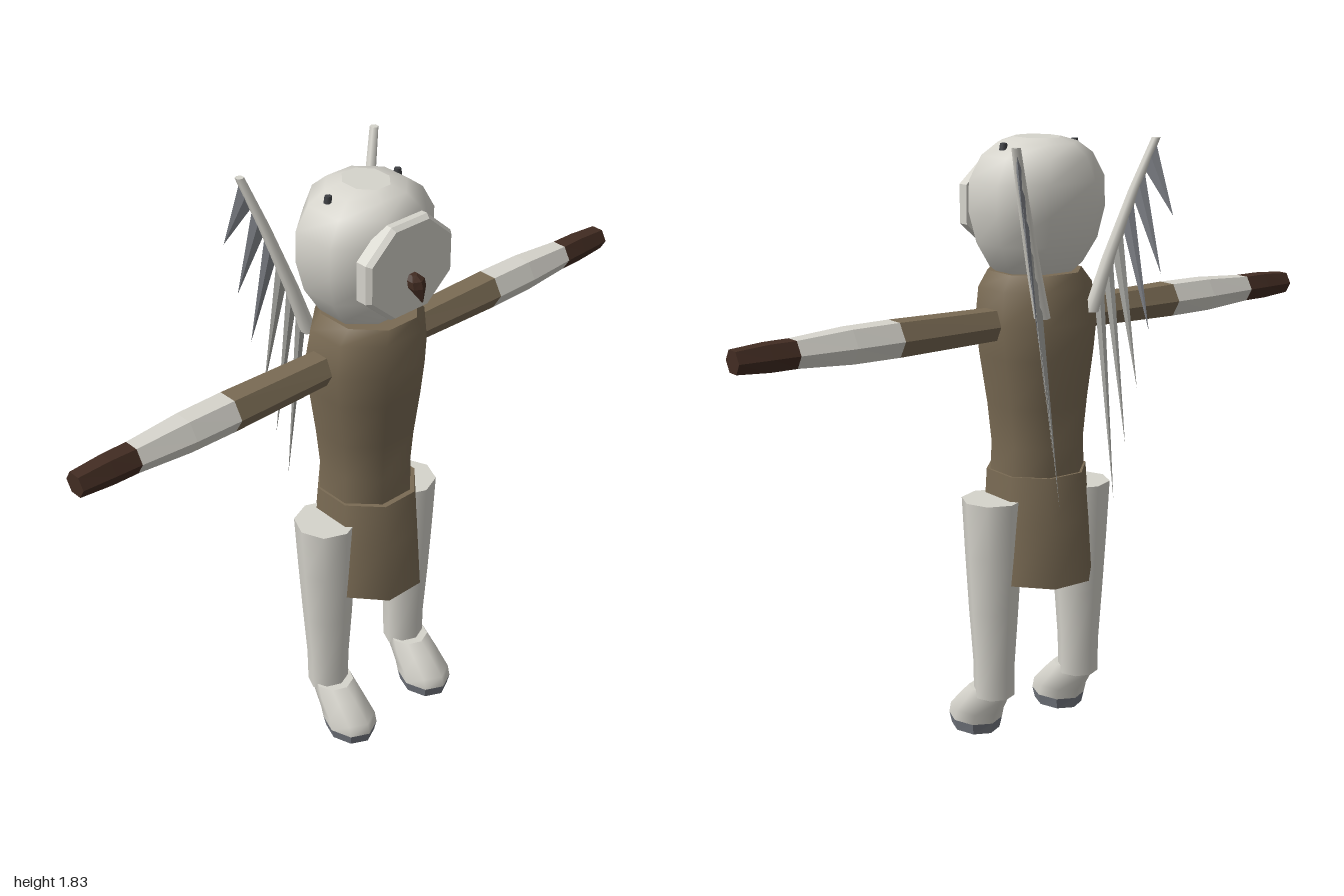
import * as THREE from 'three';

const mat = (name, color, extra = {}) => Object.assign(new THREE.MeshStandardMaterial({ color, ...extra }), { name });

// Lofts rings [y, cx, cz, rx, rz] into an n-sided body; "flatFront" puts a side, not a corner, at +z
function loft(rings, n, { flatFront = false, capBottom = true, capTop = true, flat = false } = {}) {
  const pos = [], idx = [];
  const phase = flatFront ? Math.PI / n : 0;
  const k = flatFront ? 1 / Math.cos(Math.PI / n) : 1;
  const addRing = ([y, cx, cz, rx, rz]) => {
    const start = pos.length / 3;
    for (let i = 0; i < n; i++) {
      const a = phase + (i / n) * Math.PI * 2;
      pos.push(cx + rx * k * Math.sin(a), y, cz + rz * k * Math.cos(a));
    }
    return start;
  };
  const starts = rings.map(addRing);
  for (let r = 0; r < rings.length - 1; r++) {
    for (let i = 0; i < n; i++) {
      const j = (i + 1) % n, a = starts[r], b = starts[r + 1];
      idx.push(a + i, a + j, b + j, a + i, b + j, b + i);
    }
  }
  const cap = (ring, up) => {
    const s = addRing(ring), c = pos.length / 3;
    pos.push(ring[1], ring[0], ring[2]);
    for (let i = 0; i < n; i++) {
      const j = (i + 1) % n;
      if (up) idx.push(c, s + i, s + j);
      else idx.push(c, s + j, s + i);
    }
  };
  if (capBottom) cap(rings[0], false);
  if (capTop) cap(rings[rings.length - 1], true);
  let g = new THREE.BufferGeometry();
  g.setAttribute('position', new THREE.Float32BufferAttribute(pos, 3));
  g.setIndex(idx);
  if (flat) g = g.toNonIndexed();
  g.computeVertexNormals();
  return g;
}

// Thin four-sided spike between two root points and a tip
function feather(a, b, tip, normal) {
  const m = a.clone().lerp(b, 0.5);
  const root = [a, m.clone().add(normal), b, m.clone().sub(normal)];
  const pts = [];
  for (let i = 0; i < 4; i++) pts.push(root[i], root[(i + 1) % 4], tip);
  pts.push(root[0], root[2], root[1], root[0], root[3], root[2]);
  const g = new THREE.BufferGeometry().setFromPoints(pts);
  g.computeVertexNormals();
  return g;
}

export function createModel() {
  const model = new THREE.Group();
  model.name = 'wingedFigure';
  const pale = mat('pale', 0xd6d4cc);
  const cloth = mat('cloth', 0x7a6b54);
  const clothOpen = cloth;
  clothOpen.side = THREE.DoubleSide;
  const dark = mat('darkBrown', 0x422c22);
  const slate = mat('slate', 0x767a82);
  const eyeGrey = mat('eyeGrey', 0x3e4044);
  const upperPlume = mat('upperPlume', 0x7e8187, { side: THREE.DoubleSide });
  const lowerPlume = mat('lowerPlume', 0xa9a9a4, { side: THREE.DoubleSide });

  const add = (parent, name, geometry, material) => {
    const mesh = new THREE.Mesh(geometry, material);
    mesh.name = name;
    parent.add(mesh);
    return mesh;
  };

  // Head with flattened crown
  add(model, 'head', loft([
    [1.43, 0, 0.04, 0.10, 0.09],
    [1.46, 0, 0.04, 0.135, 0.115],
    [1.53, 0, 0.035, 0.175, 0.145],
    [1.62, 0, 0.035, 0.195, 0.168],
    [1.71, 0, 0.035, 0.193, 0.168],
    [1.78, 0, 0.035, 0.155, 0.148],
    [1.815, 0, 0.035, 0.11, 0.11],
    [1.83, 0, 0.035, 0.06, 0.07],
  ], 8, { flatFront: true }), pale);

  // Bevelled face plate, lofted upright then turned to the front
  const plate = add(model, 'facePlate', loft([
    [0.17, 0, 0, 0.157, 0.14],
    [0.205, 0, 0, 0.157, 0.14],
    [0.22, 0, 0, 0.146, 0.13],
  ], 8, { flatFront: true, flat: true }).rotateX(Math.PI / 2), pale);
  plate.position.y = 1.63;

  // Hooked beak
  add(model, 'beak', loft([
    [1.545, 0, 0.262, 0.002, 0.002],
    [1.585, 0, 0.24, 0.026, 0.024],
    [1.605, 0, 0.235, 0.026, 0.022],
    [1.618, 0, 0.225, 0.012, 0.012],
  ], 6, { flat: true }), dark);

  // Torso and open skirt
  add(model, 'torso', loft([
    [0.82, 0, 0.038, 0.135, 0.135],
    [0.93, 0, 0.036, 0.13, 0.134],
    [1.05, 0, 0.036, 0.142, 0.142],
    [1.2, 0, 0.038, 0.163, 0.157],
    [1.3, 0, 0.04, 0.174, 0.164],
    [1.4, 0, 0.045, 0.162, 0.15],
    [1.445, 0, 0.05, 0.13, 0.138],
  ], 8, { flatFront: true }), cloth);
  add(model, 'skirt', loft([
    [0.51, 0, 0.04, 0.155, 0.176],
    [0.7, 0, 0.041, 0.148, 0.16],
    [0.845, 0, 0.042, 0.141, 0.147],
  ], 8, { flatFront: true, capBottom: false }), clothOpen);

  for (const s of [1, -1]) {
    const side = s > 0 ? 'left' : 'right';

    // Eye studs
    const eye = add(model, side + 'Eye', new THREE.CylinderGeometry(0.01, 0.013, 0.02, 6), eyeGrey);
    eye.position.set(s * 0.127, 1.808, 0.025);

    // Arm: sleeve, forearm and hand along x
    const arm = new THREE.Group();
    arm.name = side + 'Arm';
    arm.position.set(0, 1.3, 0.032);
    arm.rotation.z = -s * Math.PI / 2;
    model.add(arm);
    const segment = (name, rings, material) => add(arm, name,
      loft(rings.map(([d, rx, rz]) => [d, 0, 0, rx, rz]), 6, { flat: true }), material);
    segment('sleeve', [[0.12, 0.05, 0.055], [0.5, 0.057, 0.06]], cloth);
    segment('forearm', [[0.5, 0.057, 0.06], [0.65, 0.056, 0.058], [0.82, 0.044, 0.046]], pale);
    segment('hand', [[0.82, 0.044, 0.046], [0.9, 0.044, 0.043], [1, 0.036, 0.038]], dark);

    // Leg, foot and sole
    const x = s * 0.163;
    add(model, side + 'Leg', loft([
      [0.14, x, 0.042, 0.063, 0.063],
      [0.25, x, 0.042, 0.064, 0.065],
      [0.42, x, 0.042, 0.076, 0.076],
      [0.6, x, 0.041, 0.086, 0.087],
      [0.77, x, 0.04, 0.095, 0.095],
    ], 8), pale);
    add(model, side + 'Foot', loft([
      [0.035, x, 0.145, 0.078, 0.092],
      [0.07, x, 0.135, 0.077, 0.094],
      [0.125, x, 0.09, 0.07, 0.083],
      [0.16, x, 0.069, 0.062, 0.062],
    ], 8), pale);
    add(model, side + 'Sole', loft([
      [0, x, 0.145, 0.07, 0.084],
      [0.035, x, 0.145, 0.078, 0.092],
    ], 8, { flat: true }), slate);

    // Wing: slanted bone with a row of hanging feathers
    const wing = new THREE.Group();
    wing.name = side + 'Wing';
    model.add(wing);
    const bone = new THREE.CatmullRomCurve3([
      new THREE.Vector3(s * 0.09, 1.33, -0.108),
      new THREE.Vector3(s * 0.165, 1.58, -0.142),
      new THREE.Vector3(s * 0.247, 1.83, -0.2),
    ]);
    const rings = [0, 0.3, 0.7, 1].map((t) => {
      const p = bone.getPoint(t), r = 0.024 - 0.011 * t;
      return [p.y, p.x, p.z, r, r];
    });
    add(wing, 'wingBone', loft(rings, 6), pale);
    const normal = new THREE.Vector3(s * 0.0045, 0, 0.0065);
    for (let i = 0; i < 6; i++) {
      const f = i / 5, top = 0.99 - 0.155 * i;
      const tip = new THREE.Vector3(s * (0.265 - 0.165 * f), 1.61 - 0.83 * f, -0.26 + 0.055 * f);
      add(wing, 'feather' + (i + 1),
        feather(bone.getPoint(top), bone.getPoint(top - 0.16), tip, normal),
        i < 3 ? upperPlume : lowerPlume);
    }
  }
  return model;
}
